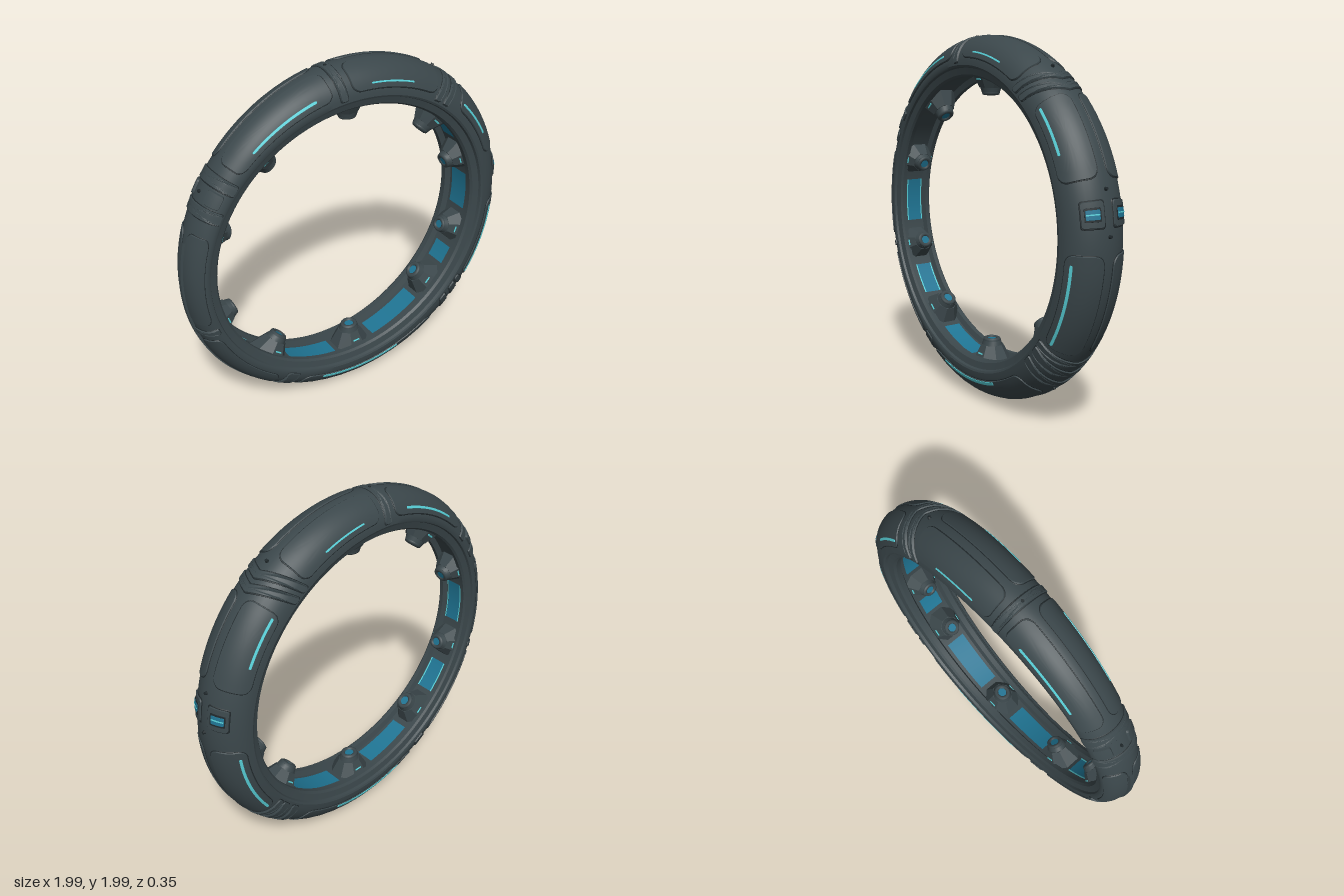
import * as THREE from 'three';
import { toCreasedNormals } from 'three/addons/utils/BufferGeometryUtils.js';

const RAD = Math.PI / 180;
const mat = (name, color, side = THREE.FrontSide) => {
  const m = new THREE.MeshStandardMaterial({ color, side });
  m.name = name;
  return m;
};

// Ring dimensions by angle in degrees: the hull is thinner towards -x
const OUTER = 0.985;
const thin = (t) => (1 - Math.cos(t * RAD)) / 2;
const inner = (t) => 0.762 + 0.075 * thin(t) ** 3;
const width = (t) => 0.173 - 0.05 * thin(t) ** 1.5;
const place = (t, r, z) => [r * Math.cos(t * RAD), 1 + r * Math.sin(t * RAD), z];

// Radius and z on the rounded outside, p degrees from the crest, raised by d
function outside(t, p, d = 0) {
  const mid = inner(t) + 0.06, c = Math.cos(p * RAD), s = Math.sin(p * RAD);
  return [mid + (OUTER - mid) * c + d * c, width(t) * s + d * s];
}

function geometryFrom(positions, index, crease) {
  const g = new THREE.BufferGeometry();
  g.setAttribute('position', new THREE.Float32BufferAttribute(positions, 3));
  g.setIndex(index);
  return toCreasedNormals(g, crease);
}

// Sweep a profile of [radius, z] points along an arc of the ring
function sweep(t0, t1, steps, profile) {
  const pos = [], idx = [];
  const n = profile(t0).length;
  for (let i = 0; i <= steps; i++) {
    const t = t0 + ((t1 - t0) * i) / steps;
    for (const [r, z] of profile(t)) pos.push(...place(t, r, z));
  }
  for (let i = 0; i < steps; i++) {
    for (let j = 0; j < n - 1; j++) {
      const a = i * n + j, b = a + n;
      idx.push(a, b, b + 1, a, b + 1, a + 1);
    }
  }
  return geometryFrom(pos, idx, 0.5);
}

// Rounded plate wrapped on the outside; bend turns it into a chevron
function plate(t0, t1, p0, p1, height, corner = 0.04, bend = 0) {
  const LT = 0.95 * RAD, LP = 0.17 * RAD;
  const w = ((t1 - t0) * LT) / 2, h = ((p1 - p0) * LP) / 2;
  const c = Math.min(corner, w * 0.98, h * 0.98);
  const shape = new THREE.Shape();
  shape.absarc(w - c, h - c, c, 0, Math.PI / 2);
  shape.absarc(c - w, h - c, c, Math.PI / 2, Math.PI);
  shape.absarc(c - w, c - h, c, Math.PI, Math.PI * 1.5);
  shape.absarc(w - c, c - h, c, Math.PI * 1.5, Math.PI * 2);
  shape.closePath();
  const n = 96, points = shape.getSpacedPoints(n).slice(0, n);
  const inset = Math.min(0.006, w * 0.3, h * 0.3);
  const rings = [[1, 0, -0.004], [1, inset, height], [0.8, inset, height],
    [0.6, inset, height], [0.4, inset, height], [0.2, inset, height], [0, 0, height]];
  const pos = [], idx = [];
  for (const [s, cut, d] of rings) {
    for (const q of points) {
      const u = q.x * s * (1 - cut / w), v = q.y * s * (1 - cut / h);
      const p = (p0 + p1) / 2 + v / LP;
      const t = (t0 + t1) / 2 + u / LT + bend * Math.abs(p);
      const [r, z] = outside(t, p, d);
      pos.push(...place(t, r, z));
    }
  }
  for (let k = 0; k < rings.length - 1; k++) {
    for (let i = 0; i < n; i++) {
      const j = (i + 1) % n, a = k * n + i, b = k * n + j;
      idx.push(a, b, b + n, a, b + n, a + n);
    }
  }
  return geometryFrom(pos, idx, 0.6);
}

export function createModel() {
  const hull = mat('dark hull', 0x3b474b);
  const seam = mat('seam', 0x20282b);
  const blue = mat('blue panel', 0x1f7594, THREE.DoubleSide);
  const cyan = mat('cyan light', 0x58d0d8, THREE.DoubleSide);
  const model = new THREE.Group();
  model.name = 'ringStation';
  const add = (name, geometry, material, parent = model) => {
    const m = new THREE.Mesh(geometry, material);
    m.name = name;
    parent.add(m);
    return m;
  };

  // Main ring: round outside, stepped rims and a channel on the inside
  const rim = [[0.05, 0.97], [0.045, 0.88], [0.01, 0.82], [0, 0.74], [0, 0.56], [0.03, 0.48]];
  add('mainRing', sweep(0, 360, 180, (t) => {
    const out = [];
    for (let p = -90; p <= 90; p += 9) out.push(outside(t, p));
    const side = (sign) => rim.map(([d, f]) => [inner(t) + d, sign * f * width(t)]);
    out.push(...side(1), ...side(-1).reverse(), outside(t, -90));
    return out;
  }), hull);

  // Keel along the lower left crest
  add('keel', sweep(165, 282, 60, () => [[0.97, -0.016], [0.998, -0.012], [0.998, 0.012], [0.97, 0.016]]), hull);

  // Paired armour plates with dark seams around them
  const plates = [[59, 94], [101, 139], [19, 46], [-35, -2], [245, 304], [200, 234], [161, 193]];
  for (const [t0, t1] of plates) {
    for (const s of [-1, 1]) {
      const [a, b] = s > 0 ? [8, 76] : [-76, -8];
      add('plateSeam', plate(t0 - 0.35, t1 + 0.35, a - 2, b + 2, 0.001, 0.055), seam);
      add('armourPlate', plate(t0, t1, a, b, 0.006, 0.05), hull);
    }
  }

  // Long lights on both faces: start, end, distance from the crest, half width
  const lights = [[106.5, 131.5, 62, 3.5], [70, 87, 64, 2], [27.5, 44.5, 62, 3],
    [-34, -5, 62, 3.5], [253, 287, 70, 4.5]];
  for (const [t0, t1, p, h] of lights) {
    for (const s of [-1, 1]) {
      add('lightStrip', plate(t0, t1, s * p - h, s * p + h, 0.0085, 0.005), cyan);
    }
  }

  // Joint bands between the plates; some are chevrons
  const bands = [[96, 99, 0], [46.5, 49.5, 0.06], [51, 54, 0.06], [307, 311, 0.05],
    [313, 317, 0.05], [319, 322, 0.03], [142, 146, 0], [152, 156, 0], [236.5, 242, 0],
    [195.5, 198, 0]];
  for (const [t0, t1, bend] of bands) {
    add('bandSeam', plate(t0 - 0.4, t1 + 0.4, -88, 88, 0.001, 0.012, bend), seam);
    add('jointBand', plate(t0, t1, -86, 86, 0.007, 0.012, bend), hull);
  }
  for (const s of [-1, 1]) {
    add('jointBlock', plate(146.5, 151.5, s * 45 - 22, s * 45 + 22, 0.01, 0.015), hull);
  }

  // Twin lit boxes on the +x side
  for (const s of [-1, 1]) {
    const p = s * 28;
    add('boxSeam', plate(5, 13.6, p - 22, p + 22, 0.002, 0.015), seam);
    add('boxFrame', plate(5.4, 13.2, p - 20, p + 20, 0.008, 0.015), hull);
    add('boxRecess', plate(7, 11.6, p - 15, p + 15, 0.01, 0.008), seam);
    add('boxLight', plate(7.6, 11, p - 13, p + 13, 0.012, 0.005), blue);
    add('boxGlow', plate(9.1, 9.6, p - 11, p + 11, 0.014, 0.002), cyan);
  }

  // Bolts along the crest
  for (const t of [3, 16, 57, 97.5, 149, 306]) {
    add('bolt', plate(t - 0.6, t + 0.6, -3.4, 3.4, 0.011, 0.01), seam);
  }

  // Emitter pods on the inside, pointing at the centre
  const pods = [18, 45, 90, 131, 162, 198, 230, 271, 315, 342];
  for (const t of pods) {
    const pod = new THREE.Group();
    pod.name = 'emitterPod';
    pod.position.set(...place(t, inner(t) + 0.04, 0));
    pod.rotation.z = (t + 90) * RAD;
    const sideways = Math.abs(Math.cos(t * RAD)) > 0.9;
    pod.scale.set(sideways ? 0.88 : 1, sideways ? 0.85 : 1, 0.92);
    model.add(pod);
    const base = new THREE.CylinderGeometry(0.066, 0.122, 0.1, 8).rotateY(Math.PI / 8).translate(0, 0.05, 0);
    add('podBase', toCreasedNormals(base, 0.3), hull, pod);
    add('podCollar', toCreasedNormals(new THREE.CylinderGeometry(0.052, 0.06, 0.025, 24).translate(0, 0.112, 0), 0.5), hull, pod);
    add('podRing', new THREE.TorusGeometry(0.038, 0.014, 8, 24).rotateX(Math.PI / 2).translate(0, 0.126, 0), hull, pod);
    add('podLens', new THREE.CylinderGeometry(0.028, 0.028, 0.006, 20).translate(0, 0.128, 0), blue, pod);
    for (const s of [-1, 1]) {
      const slit = add('podLight', new THREE.BoxGeometry(0.04, 0.008, 0.006), cyan, pod);
      slit.position.set(0, 0.055, s * 0.085);
      slit.rotation.x = -s * 0.47;
    }
  }

  // Blue panels in the inner channel between the pods, edged with light on the left
  const gaps = [[162, 198], [198, 230], [230, 271], [271, 315], [315, 342], [342, 378], [378, 405]];
  for (const [a, b] of gaps) {
    const strip = (z0, z1, lift) => sweep(a + 9.5, b - 9.5, 12, (t) => {
      const r = inner(t) + 0.03 - lift;
      return [[r, z1 * width(t)], [r, z0 * width(t)]];
    });
    add('channelPanel', strip(-0.36, 0.36, 0.004), blue);
    if (b <= 230) {
      for (const s of [-1, 1]) add('channelLight', strip(s * 0.38 - 0.03, s * 0.38 + 0.03, 0.007), cyan);
    }
  }
  return model;
}
